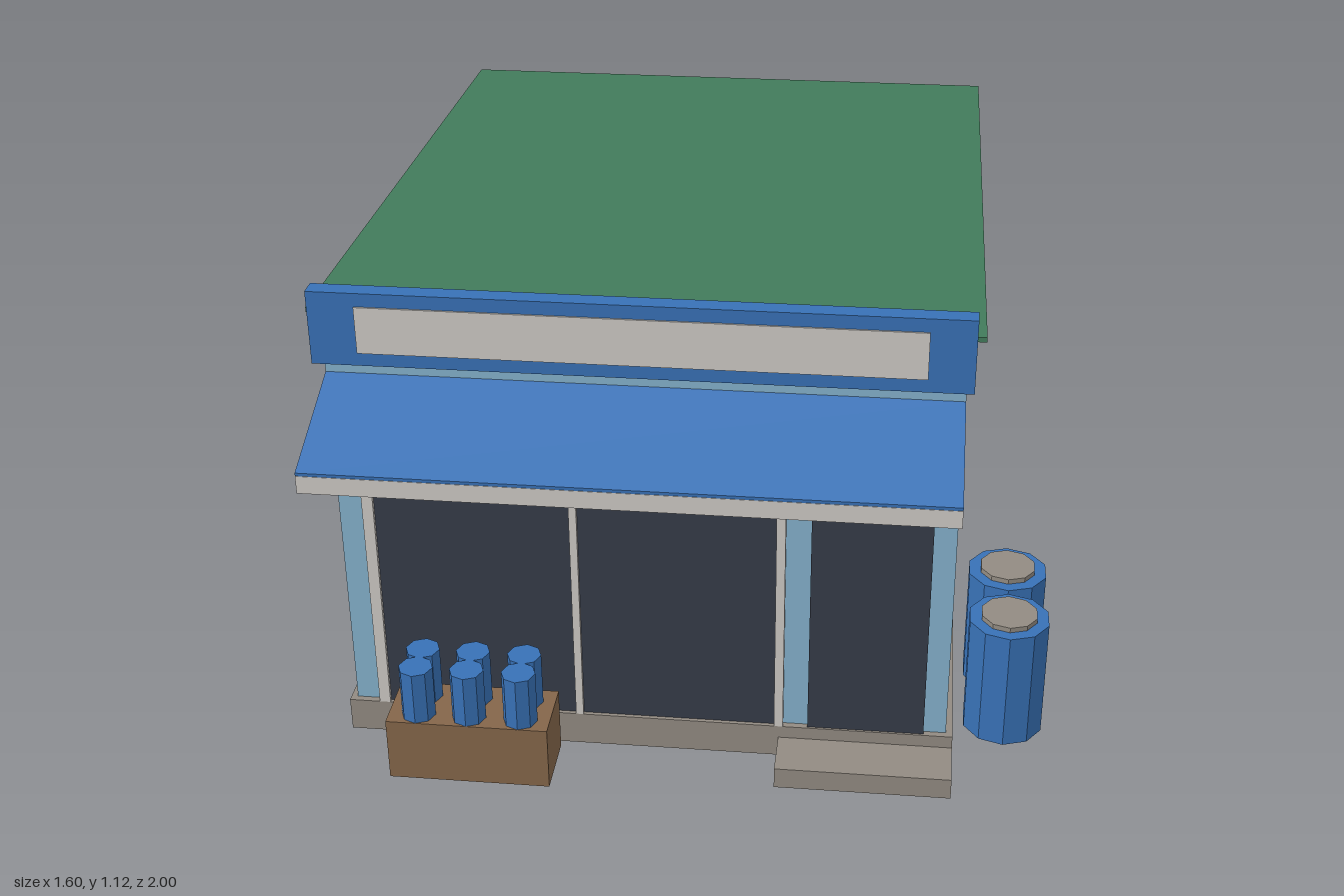
import * as THREE from 'three';

const mat = (name, color) => {
  const m = new THREE.MeshStandardMaterial({ color });
  m.name = name;
  return m;
};

export function createModel() {
  const wall = mat('wall blue', 0x84b1cc);
  const blue = mat('strong blue', 0x3871b6);
  const green = mat('roof green', 0x427b5b);
  const trim = mat('pale trim', 0xcdc9c4);
  const stone = mat('stone', 0x928b82);
  const glass = mat('dark glass', 0x363c48);
  const wood = mat('wood', 0x84664a);
  const iron = mat('iron', 0x1f2228);

  const model = new THREE.Group();
  model.name = 'shop';

  const add = (parent, name, geometry, material) => {
    const mesh = new THREE.Mesh(geometry, material);
    mesh.name = name;
    parent.add(mesh);
    return mesh;
  };
  // Box given by its limits on each axis
  const box = (parent, name, material, [x0, x1], [y0, y1], [z0, z1]) => {
    const g = new THREE.BoxGeometry(x1 - x0, y1 - y0, z1 - z0);
    g.translate((x0 + x1) / 2, (y0 + y1) / 2, (z0 + z1) / 2);
    return add(parent, name, g, material);
  };
  // Side profile of [z, y] points, extruded from x0 to x1
  const profile = (name, material, points, x0, x1) => {
    const shape = new THREE.Shape(points.map(([z, y]) => new THREE.Vector2(z, y)));
    const g = new THREE.ExtrudeGeometry(shape, { depth: x1 - x0, bevelEnabled: false });
    g.rotateY(-Math.PI / 2);
    g.translate(x1, 0, 0);
    return add(model, name, g, material);
  };
  const group = (name) => {
    const g = new THREE.Group();
    g.name = name;
    model.add(g);
    return g;
  };

  // Building shell and sloping roof
  profile('walls', wall, [[-0.9, 0], [0.74, 0], [0.74, 1.054], [-0.9, 0.998]], -0.77, 0.575);
  box(model, 'plinth', stone, [-0.785, 0.59], [0.001, 0.08], [-0.915, 0.755]);
  box(model, 'doorStep', stone, [0.2, 0.59], [0, 0.05], [0.75, 0.87]);
  profile('roof', green, [[-1, 0.995], [0.74, 1.054], [0.74, 1.065], [-1, 1.005]], -0.8, 0.61);

  // Sign board
  box(model, 'signBoard', blue, [-0.785, 0.59], [0.955, 1.12], [0.738, 0.78]);
  box(model, 'signPanel', trim, [-0.685, 0.495], [0.985, 1.09], [0.778, 0.784]);

  // Awning with hanging front edge
  profile('awning', blue, [[0.74, 0.907], [0.999, 0.808], [0.999, 0.817], [0.74, 0.917]], -0.77, 0.575);
  box(model, 'awningValance', trim, [-0.77, 0.575], [0.77, 0.81], [0.994, 1]);

  // Shop front glazing
  const front = group('shopWindow');
  box(front, 'pane', glass, [-0.7, 0.2], [0.08, 0.765], [0.738, 0.746]);
  for (const [a, b] of [[-0.715, -0.69], [-0.26, -0.243], [0.19, 0.21]])
    box(front, 'framePost', trim, [a, b], [0.08, 0.76], [0.738, 0.755]);
  box(front, 'frameHead', trim, [-0.715, 0.21], [0.76, 0.78], [0.738, 0.755]);

  // Door
  box(model, 'door', glass, [0.265, 0.525], [0.08, 0.69], [0.738, 0.75]);
  box(model, 'doorLintel', trim, [0.25, 0.54], [0.69, 0.71], [0.738, 0.757]);

  // Small window facing +z around its own origin, placed on a wall
  const smallWindow = (name, width, barred) => {
    const w = group(name), h = width / 2;
    box(w, 'pane', glass, [-h, h], [0.325, 0.66], [-0.002, 0.006]);
    for (const x of [-h, 0, h])
      box(w, 'framePost', trim, [x - 0.006, x + 0.006], [0.325, 0.66], [-0.002, 0.009]);
    box(w, 'lintel', trim, [-h - 0.015, h + 0.015], [0.66, 0.675], [-0.002, 0.015]);
    box(w, 'sill', trim, [-h - 0.02, h + 0.02], [0.31, 0.327], [-0.002, 0.02]);
    if (barred) {
      for (let i = -1; i <= 1; i++)
        box(w, 'bar', iron, [i * h / 2 - 0.006, i * h / 2 + 0.006], [0.327, 0.66], [0.009, 0.018]);
      box(w, 'crossBar', iron, [-h, h], [0.487, 0.499], [0.009, 0.017]);
    }
    return w;
  };
  const back = smallWindow('backWindow', 0.33, false);
  back.position.set(-0.1, 0, -0.9);
  back.rotation.y = Math.PI;
  const side = smallWindow('sideWindow', 0.3, true);
  side.position.set(-0.77, 0, 0.2);
  side.rotation.y = -Math.PI / 2;

  // Barrels by the right wall
  for (const z of [0.372, 0.572]) {
    const b = group('barrel');
    b.position.set(0.707, 0, z);
    add(b, 'barrelBody', new THREE.CylinderGeometry(0.093, 0.093, 0.288, 10).toNonIndexed(), blue).position.y = 0.144;
    add(b, 'barrelLid', new THREE.CylinderGeometry(0.065, 0.065, 0.014, 10).toNonIndexed(), stone).position.y = 0.293;
    b.children.forEach((m) => m.geometry.computeVertexNormals());
  }

  // Crate with two rows of canisters
  box(model, 'crate', wood, [-0.655, -0.295], [0, 0.15], [0.77, 0.92]);
  for (const x of [-0.588, -0.475, -0.36])
    for (const z of [0.812, 0.882]) {
      const g = new THREE.CylinderGeometry(0.038, 0.038, 0.125, 8).toNonIndexed();
      g.computeVertexNormals();
      add(model, 'canister', g, blue).position.set(x, 0.2125, z);
    }

  return model;
}
